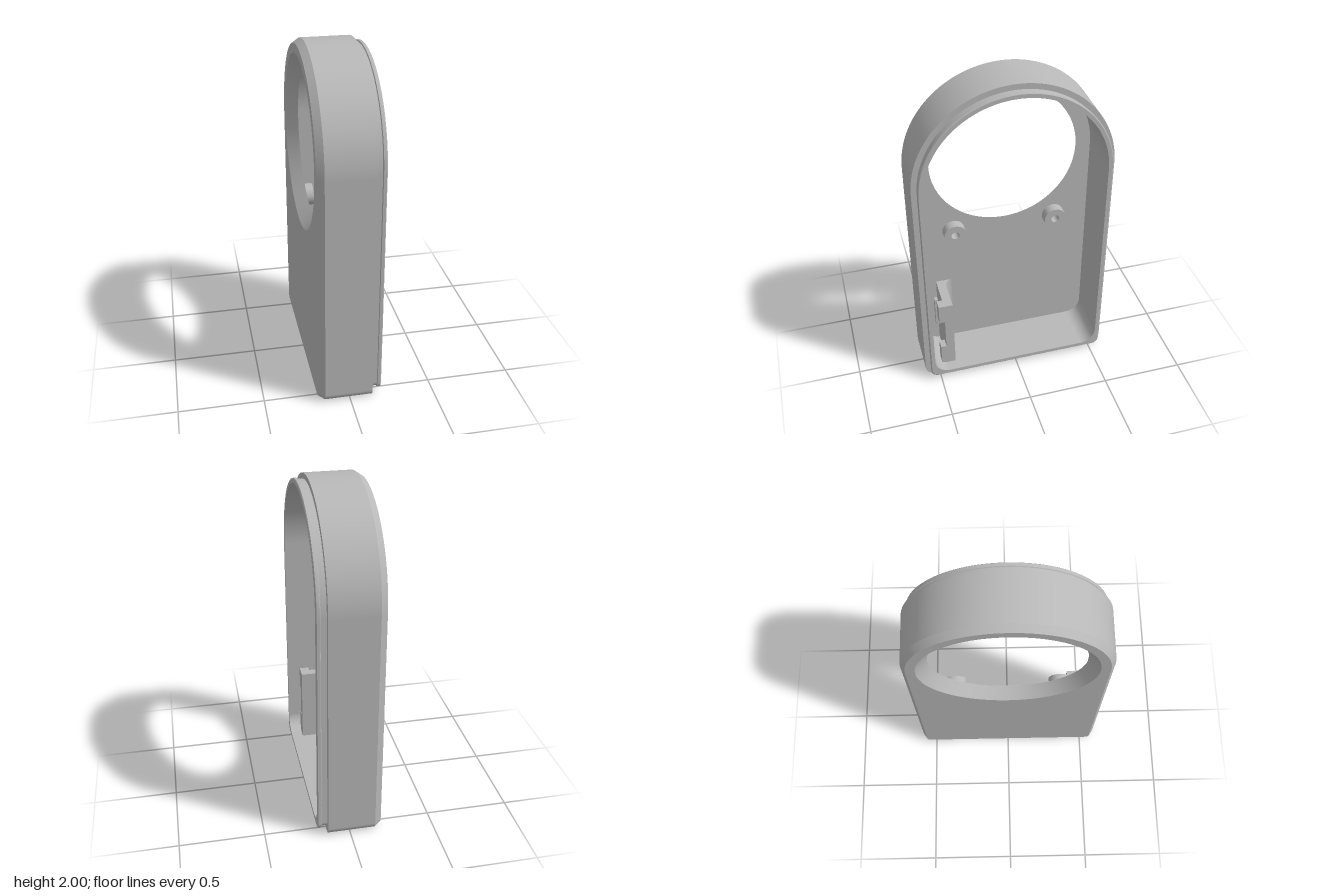
import * as THREE from 'three';

const HALF = 0.588, ARC_Y = 1.412;      // half width and arch centre height
const BACK = -0.19, FLOOR = -0.12;      // outer and inner faces of the plate
const HOLE_IN = 0.442, HOLE_OUT = 0.506; // tapered opening

// Arch outline as [z, y] points, moved inwards by inset, with rounded bottom corners
function outline(inset, r) {
  const w = HALF - inset, pts = [];
  const arc = (cz, cy, rad, a0, a1, n) => {
    for (let i = 0; i <= n; i++) {
      const a = a0 + (a1 - a0) * i / n;
      pts.push([cz + rad * Math.cos(a), cy + rad * Math.sin(a)]);
    }
  };
  arc(0, ARC_Y, w, 0, Math.PI, 72);
  arc(-w + r, inset + r, r, Math.PI, 1.5 * Math.PI, 10);
  arc(w - r, inset + r, r, 1.5 * Math.PI, 2 * Math.PI, 10);
  return pts;
}

// Band between two outlines given as [x, inset, cornerRadius]
function band(a, b) {
  const pa = outline(a[1], a[2]), pb = outline(b[1], b[2]), n = pa.length;
  const pos = [], idx = [];
  pa.forEach(([z, y]) => pos.push(a[0], y, z));
  pb.forEach(([z, y]) => pos.push(b[0], y, z));
  for (let i = 0; i < n; i++) {
    const j = (i + 1) % n;
    idx.push(i, n + i, j, j, n + i, n + j);
  }
  const g = new THREE.BufferGeometry();
  g.setAttribute('position', new THREE.Float32BufferAttribute(pos, 3));
  g.setIndex(idx);
  g.computeVertexNormals();
  return g;
}

// Flat arch plate with a round opening
function plate(inset, r, hole) {
  const s = new THREE.Shape(outline(inset, r).map(([z, y]) => new THREE.Vector2(z, y)));
  s.holes.push(new THREE.Path().absarc(0, ARC_Y, hole, 0, Math.PI * 2, true));
  return new THREE.ShapeGeometry(s, 48);
}

// Extrude a shape drawn in (z, x) upwards along y
function prism(shape, y0, y1) {
  const g = new THREE.ExtrudeGeometry(shape, { depth: y1 - y0, bevelEnabled: false, curveSegments: 12 });
  g.applyMatrix4(new THREE.Matrix4().makeBasis(
    new THREE.Vector3(0, 0, 1), new THREE.Vector3(1, 0, 0), new THREE.Vector3(0, 1, 0)));
  return g.translate(0, y0, 0);
}

export function createModel() {
  const model = new THREE.Group();
  model.name = 'archHousing';
  const grey = new THREE.MeshStandardMaterial({ color: 0xb8b8b8, side: THREE.DoubleSide });
  grey.name = 'grey';
  const add = (name, geo, parent = model) => {
    const m = new THREE.Mesh(geo, grey);
    m.name = name;
    parent.add(m);
    return m;
  };

  // Outer chamfer, wall, stepped lip with bead, and inner wall
  const shell = new THREE.Group();
  shell.name = 'shell';
  model.add(shell);
  const rings = [
    ['chamfer', BACK, 0.027, 0.03],
    ['outerWall', -0.15, 0, 0.05],
    ['shoulder', 0.133, 0, 0.05],
    ['lipGroove', 0.133, 0.033, 0.045],
    ['beadFlank', 0.166, 0.033, 0.045],
    ['bead', 0.17, 0.027, 0.045],
    ['beadEdge', 0.187, 0.027, 0.045],
    ['rim', 0.191, 0.032, 0.045],
    ['innerWall', 0.191, 0.055, 0.095],
    ['end', FLOOR, 0.055, 0.095],
  ];
  for (let i = 0; i < rings.length - 1; i++) {
    add(rings[i][0], band(rings[i].slice(1), rings[i + 1].slice(1)), shell);
  }

  // Plate faces and tapered opening
  add('plateOutside', plate(0.027, 0.03, HOLE_OUT).rotateY(-Math.PI / 2).translate(BACK, 0, 0));
  add('plateInside', plate(0.055, 0.095, HOLE_IN).rotateY(Math.PI / 2).translate(FLOOR, 0, 0));
  add('openingEdge', new THREE.CylinderGeometry(HOLE_IN, HOLE_OUT, FLOOR - BACK, 96, 1, true)
    .rotateZ(-Math.PI / 2).translate((FLOOR + BACK) / 2, ARC_Y, 0));

  // Two hollow screw bosses
  const ring = new THREE.Shape().absarc(0, 0, 0.068, 0, Math.PI * 2, false);
  ring.holes.push(new THREE.Path().absarc(0, 0, 0.025, 0, Math.PI * 2, true));
  for (const side of [-1, 1]) {
    add(side > 0 ? 'leftBoss' : 'rightBoss',
      new THREE.ExtrudeGeometry(ring, { depth: 0.06, bevelEnabled: false, curveSegments: 24 })
        .rotateY(Math.PI / 2).translate(FLOOR, 0.928, side * 0.315));
  }

  // Upright holder wall with a curved foot
  const wall = new THREE.Shape();
  wall.moveTo(0.345, FLOOR);
  wall.lineTo(0.444, FLOOR);
  wall.lineTo(0.444, 0.12);
  wall.lineTo(0.39, 0.12);
  wall.lineTo(0.39, -0.04);
  wall.quadraticCurveTo(0.388, -0.115, 0.345, FLOOR);
  add('holderWall', prism(wall, 0.055, 0.54));

  // Side tabs of the holder
  for (const [y0, y1] of [[0.055, 0.2], [0.41, 0.54]]) {
    add('holderTab', new THREE.BoxGeometry(0.06, y1 - y0, 0.036).translate(0.09, (y0 + y1) / 2, 0.46));
  }
  add('holderFoot', new THREE.BoxGeometry(0.03, 0.21, 0.022).translate(FLOOR + 0.015, 0.305, 0.455));

  return model;
}
